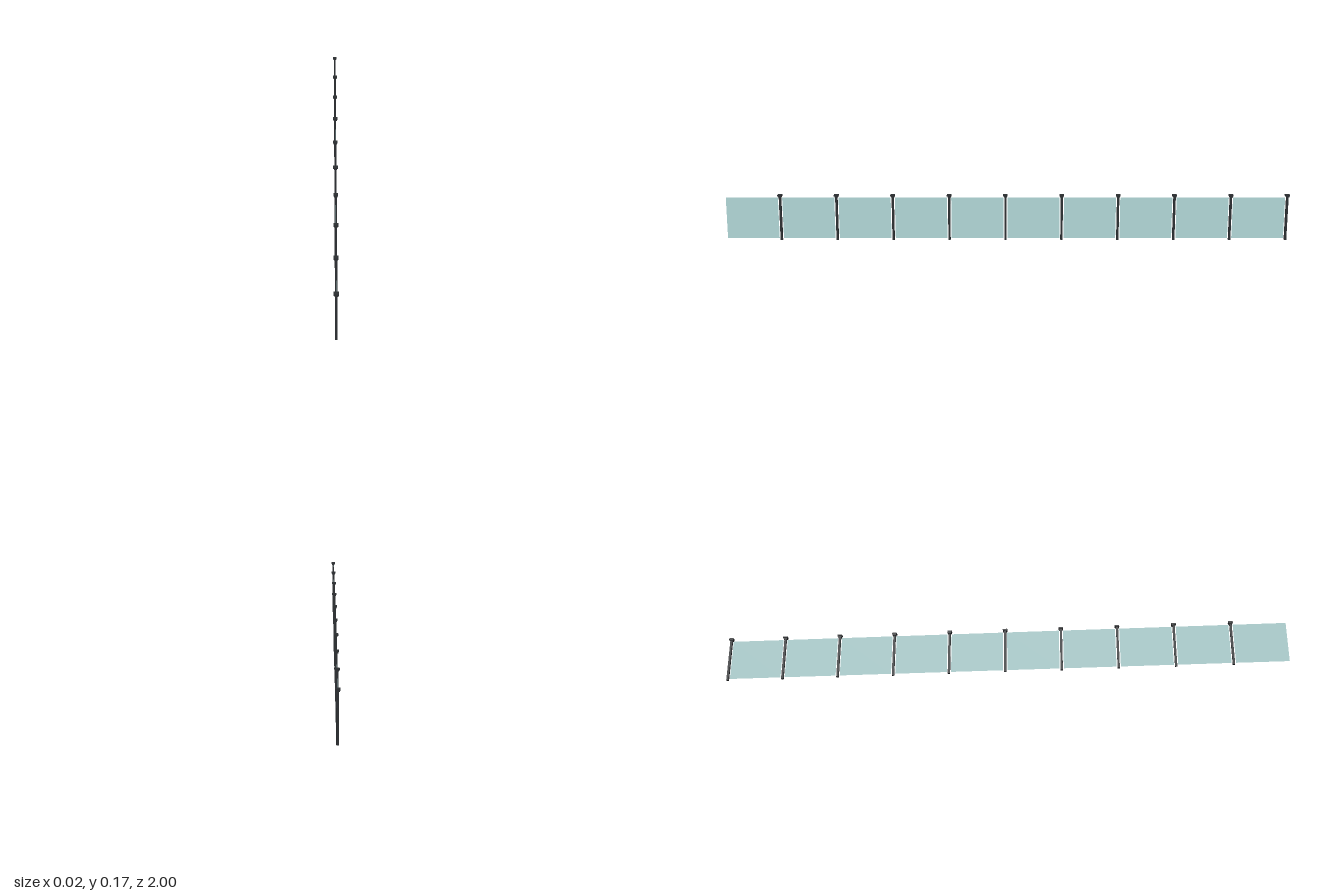
import * as THREE from 'three';

const COUNT = 10, STEP = 0.2, FIRST_Z = -0.992;
const POST = 0.008, CAP = 0.016, HEIGHT = 0.165;

export function createModel() {
  const model = new THREE.Group();
  model.name = 'glassFence';
  const metal = new THREE.MeshStandardMaterial({ color: 0x2b2e31, flatShading: true });
  const glass = new THREE.MeshStandardMaterial({ color: 0xb4dada, side: THREE.DoubleSide });

  const add = (parent, name, geometry, material, y, z = 0) => {
    const mesh = new THREE.Mesh(geometry, material);
    mesh.name = name;
    mesh.position.set(0, y, z);
    parent.add(mesh);
  };

  // Square post, stepped cap and thin pane shared by every bay
  const postGeo = new THREE.BoxGeometry(POST, 0.158, POST);
  const collarGeo = new THREE.BoxGeometry(0.012, 0.004, 0.012);
  const capGeo = new THREE.BoxGeometry(CAP, 0.005, CAP);
  const paneGeo = new THREE.PlaneGeometry(STEP - 0.015, 0.148).rotateY(Math.PI / 2);

  for (let i = 0; i < COUNT; i++) {
    const bay = new THREE.Group();
    bay.name = `bay${i + 1}`;
    bay.position.z = FIRST_Z + i * STEP;
    add(bay, 'post', postGeo, metal, 0.079);
    add(bay, 'capCollar', collarGeo, metal, 0.158);
    add(bay, 'postCap', capGeo, metal, HEIGHT - 0.0025);
    add(bay, 'glassPane', paneGeo, glass, 0.08, STEP / 2);
    model.add(bay);
  }
  return model;
}
